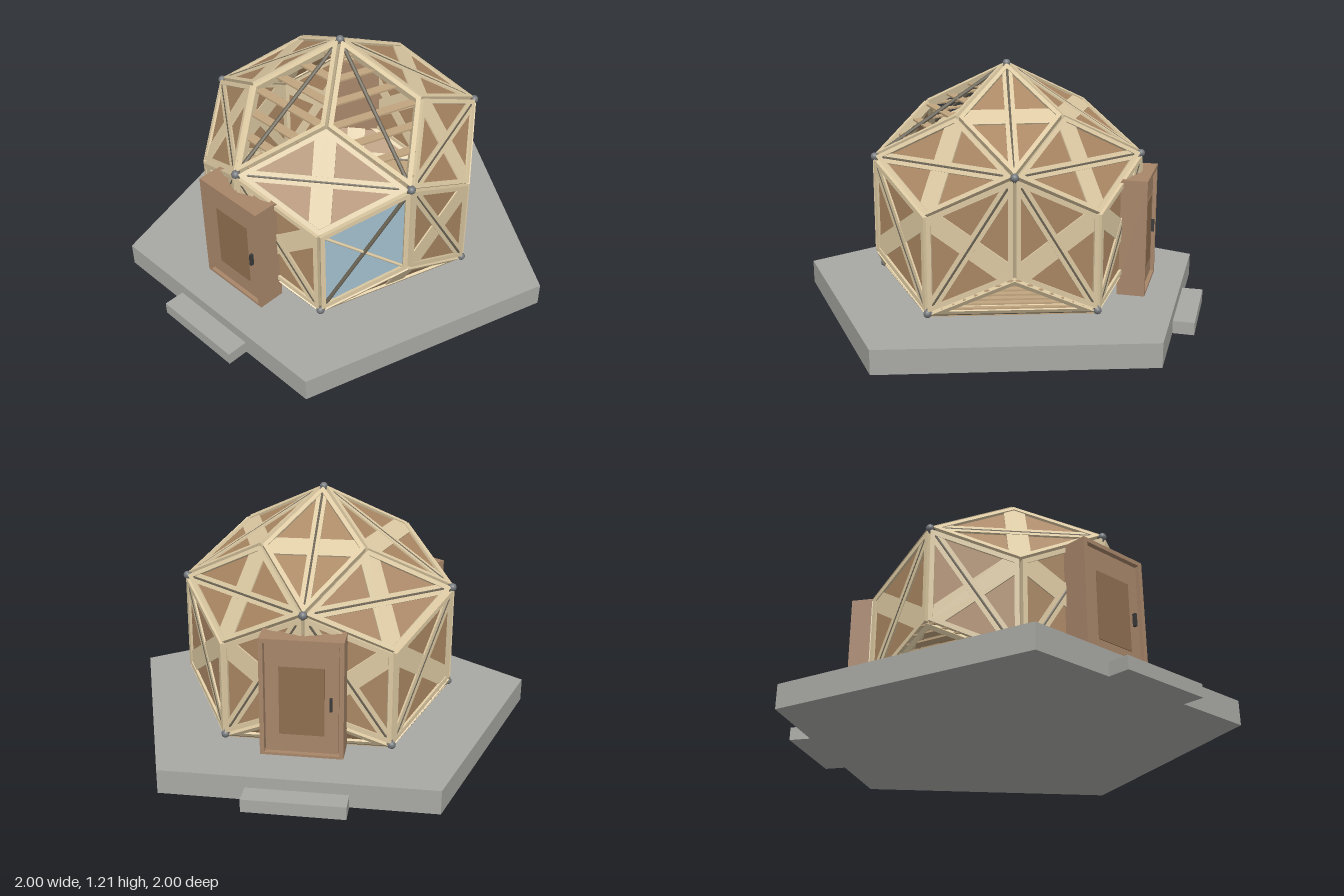
import * as THREE from 'three';

const ZC = 0.05; // dome axis
const CENTER = new THREE.Vector3(0, 0.465, ZC);
const mat = (color, extra = {}) => new THREE.MeshStandardMaterial({ color, ...extra });
const M = {
  cream: mat(0xdcc9a2), brown: mat(0xa98662), floor: mat(0xc0a47e), glass: mat(0x9fbccb),
  rod: mat(0x6b6455), hub: mat(0x73777b), door: mat(0xa8866a), inset: mat(0x8f6f50),
  handle: mat(0x3a3a3a), slab: mat(0xa8a8a4, { flatShading: true }),
  plank: mat(0xc0a47e, { flatShading: true }),
};

function add(parent, name, geo, material, x = 0, y = 0, z = 0) {
  const m = new THREE.Mesh(geo, material);
  m.name = name;
  m.position.set(x, y, z);
  parent.add(m);
  return m;
}

// point on a ring around the dome axis, angle measured from +x towards +z
function ringPoint(r, y, deg) {
  const t = THREE.MathUtils.degToRad(deg);
  return new THREE.Vector3(r * Math.cos(t), y, ZC + r * Math.sin(t));
}
const apex = new THREE.Vector3(0, 1.19, ZC);
const upper = (d) => ringPoint(0.65, 0.79, d);
const lower = (d) => ringPoint(0.65, 0.14, d);
const capPeak = (d) => ringPoint(0.402, 0.992, d);
const wallHigh = (d) => ringPoint(0.65, 0.588, d);
const wallLow = (d) => ringPoint(0.65, 0.34, d);

const path = (pts) => pts.map(([x, y]) => new THREE.Vector2(x, y));

// extruded plate lying between two depths of the panel plane
function plate(parent, name, pts, z0, z1, material, hole) {
  const s = new THREE.Shape(path(pts));
  if (hole) s.holes.push(new THREE.Path(path(hole)));
  const g = new THREE.ExtrudeGeometry(s, { depth: z1 - z0, bevelEnabled: false });
  return add(parent, name, g, material, 0, 0, z0);
}

// steel tube between two hubs
function rod(parent, name, a, b, r, material) {
  const d = b.clone().sub(a);
  const m = add(parent, name, new THREE.CylinderGeometry(r, r, d.length(), 8), material);
  m.position.copy(a).addScaledVector(d, 0.5);
  m.quaternion.setFromUnitVectors(new THREE.Vector3(0, 1, 0), d.normalize());
}

// horizontal louvre board
function slat(parent, p, dir, len) {
  const m = add(parent, 'louvreSlat', new THREE.BoxGeometry(len, 0.008, 0.045), M.plank);
  m.position.copy(p);
  m.rotation.y = Math.atan2(-dir.z, dir.x);
}

// rhombic panel: A-C long diagonal, B-D short one; without D it is a half panel
function panel(parent, name, kind, A, C, B, D) {
  const mid = A.clone().add(C).multiplyScalar(0.5);
  const u = C.clone().sub(A), v = B.clone().sub(mid);
  const a = u.length() / 2, b = v.length();
  u.normalize(); v.normalize();
  let n = u.clone().cross(v);
  if (n.dot(mid.clone().sub(CENTER)) < 0) { u.negate(); n.negate(); }
  const g = new THREE.Group();
  g.name = name;
  g.applyMatrix4(new THREE.Matrix4().makeBasis(u, v, n).setPosition(mid));
  parent.add(g);

  const side = Math.hypot(a, b);
  const inr = D ? a * b / side : a * b / (a + side);
  const cy = D ? 0 : inr;
  const corners = D ? [[-a, 0], [0, -b], [a, 0], [0, b]] : [[-a, 0], [a, 0], [0, b]];
  const inset = (w) => corners.map(([x, y]) => [x * (1 - w / inr), cy + (y - cy) * (1 - w / inr)]);
  plate(g, 'panelFrame', inset(0.005), -0.025, 0.01, M.cream, inset(0.026));

  if (kind === 'louvre') {
    const count = 7;
    for (let i = 0; i < count; i++) {
      const t = (i + 0.7) / (count + 0.4);
      const p = mid.clone().addScaledVector(D ? u : v, D ? (2 * t - 1) * a : t * b);
      const len = 2 * 0.92 * (D ? b * (1 - Math.abs(2 * t - 1)) : a * (1 - t));
      slat(parent, p.addScaledVector(n, -0.015), D ? v : u, len);
    }
  } else if (kind === 'glass') {
    plate(g, 'windowPane', inset(0.024), -0.012, -0.004, M.glass);
    rod(g, 'windowBar', new THREE.Vector3(0, -b, 0), new THREE.Vector3(0, b, 0), 0.007, M.cream);
  } else {
    plate(g, 'panelInfill', inset(0.024), -0.018, -0.002, M.brown);
    // cross boards, pointed at the corners
    const k = 0.97, h = 0.048, l = 0.024;
    const yh = b * k * (1 - h / (a * k)), xl = a * k * (1 - l / (b * k));
    const top = [[h, yh], [0, b * k], [-h, yh]];
    plate(g, 'shortBoard', D ? [[-h, -yh], [0, -b * k], [h, -yh], ...top] : [[-h, 0.01], [h, 0.01], ...top],
      -0.022, 0.005, M.cream);
    if (D) {
      plate(g, 'longBoard', [[-a * k, 0], [-xl, -l], [xl, -l], [a * k, 0], [xl, l], [-xl, l]],
        -0.023, 0.007, M.cream);
    }
  }
  rod(parent, 'steelStrut', A, C, 0.009, M.rod);
}

// door box with its entrance step, facing outwards at the given angle
function doorway(parent, deg) {
  const g = new THREE.Group();
  g.name = 'doorway';
  g.position.z = ZC;
  g.rotation.y = THREE.MathUtils.degToRad(90 - deg);
  parent.add(g);
  const box = (name, w, h, d, m, x, y, z) => add(g, name, new THREE.BoxGeometry(w, h, d), m, x, y, z);
  for (const s of [-1, 1]) box('doorJamb', 0.02, 0.55, 0.13, M.door, s * 0.175, 0.425, 0.645);
  box('doorLintel', 0.33, 0.02, 0.13, M.door, 0, 0.69, 0.645);
  box('doorSill', 0.33, 0.012, 0.13, M.door, 0, 0.156, 0.645);
  box('doorLeaf', 0.322, 0.51, 0.105, M.door, 0, 0.42, 0.64);
  box('doorInset', 0.2, 0.32, 0.006, M.inset, 0, 0.41, 0.694);
  box('doorHandle', 0.012, 0.06, 0.018, M.handle, 0.128, 0.405, 0.7);
  box('entranceStep', 0.455, 0.06, 0.11, M.slab, 0, 0.03, 0.895);
}

function pentagon(parent, name, r, y0, y1, m) {
  add(parent, name, new THREE.CylinderGeometry(r, r, y1 - y0, 5), m, 0, (y0 + y1) / 2, ZC).rotation.y = Math.PI;
}

export function createModel() {
  const model = new THREE.Group();
  model.name = 'domeHouse';

  pentagon(model, 'concreteSlab', 1.051, 0, 0.113, M.slab);
  pentagon(model, 'woodenFloor', 0.64, 0.122, 0.138, M.plank);

  const dome = new THREE.Group();
  dome.name = 'dome';
  model.add(dome);
  for (let k = 0; k < 5; k++) {
    const a = 90 + 72 * k;
    // roof panels, two of them open louvres
    panel(dome, 'roofPanel', k === 0 || k === 4 ? 'louvre' : 'wood',
      apex, upper(a), capPeak(a - 36), capPeak(a + 36));
    // panels along the eaves
    panel(dome, 'eavesPanel', 'wood', upper(a), upper(a + 72), capPeak(a + 36), wallHigh(a + 36));
    // upright wall panels, one of them glazed
    for (const s of [-1, 1]) {
      panel(dome, 'wallPanel', k === 4 && s === 1 ? 'glass' : 'wood',
        upper(a), lower(a + 36 * s), wallLow(a), wallHigh(a + 36 * s));
    }
    // half panels along the floor
    panel(dome, 'basePanel', k === 1 || k === 3 ? 'louvre' : 'wood',
      lower(a - 36), lower(a + 36), wallLow(a));
  }

  // ball joints
  const hubs = [apex];
  for (let k = 0; k < 5; k++) hubs.push(upper(90 + 72 * k), lower(54 + 72 * k));
  for (const p of hubs) add(dome, 'hub', new THREE.SphereGeometry(0.019, 16, 12), M.hub, p.x, p.y, p.z);

  doorway(model, 90);
  doorway(model, 234);
  return model;
}
